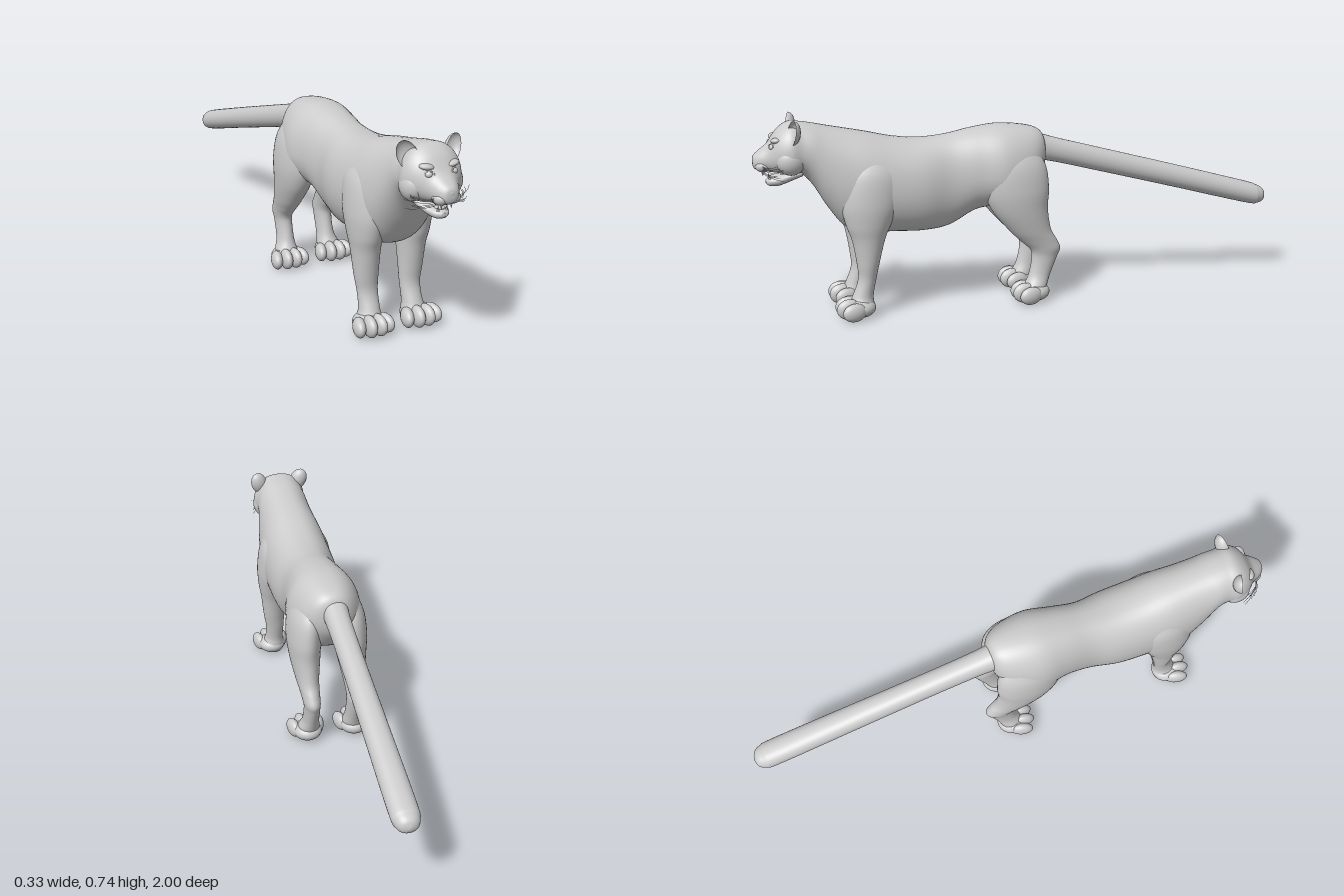
import * as THREE from 'three';

const material = new THREE.MeshStandardMaterial({ color: 0xcccccc });
const thinMaterial = new THREE.MeshStandardMaterial({ color: 0xcccccc, side: THREE.DoubleSide });

// Smooth curve through rows of numbers, column by column
function sampleRows(rows, t) {
  const last = rows.length - 1;
  const i = Math.min(Math.floor(t), last - 1), f = t - i;
  const row = k => rows[Math.max(0, Math.min(last, k))];
  const [a, b, c, d] = [row(i - 1), row(i), row(i + 1), row(i + 2)];
  return b.map((v, k) => {
    const m0 = (c[k] - a[k]) / 2, m1 = (d[k] - v) / 2, dv = c[k] - v;
    return v + f * (m0 + f * (3 * dv - 2 * m0 - m1 + f * (m0 + m1 - 2 * dv)));
  });
}

// Skin of rings through the rows, closed at both ends
function loft(rows, ring, name, steps = 6, sides = 40) {
  const pos = [], index = [], rings = (rows.length - 1) * steps + 1;
  for (let i = 0; i < rings; i++) {
    const row = sampleRows(rows, i / steps);
    for (let j = 0; j < sides; j++) {
      const a = j / sides * Math.PI * 2;
      pos.push(...ring(row, Math.cos(a), Math.sin(a)));
    }
  }
  for (let i = 0; i < rings - 1; i++) for (let j = 0; j < sides; j++) {
    const k = (j + 1) % sides, a = i * sides + j, b = i * sides + k;
    index.push(a, b, b + sides, a, b + sides, a + sides);
  }
  for (const [start, flip] of [[0, true], [(rings - 1) * sides, false]]) {
    const centre = [0, 0, 0], n = pos.length / 3;
    for (let j = 0; j < sides; j++) for (let k = 0; k < 3; k++) centre[k] += pos[(start + j) * 3 + k] / sides;
    pos.push(...centre);
    for (let j = 0; j < sides; j++) {
      const a = start + j, b = start + (j + 1) % sides;
      index.push(n, flip ? b : a, flip ? a : b);
    }
  }
  const geo = new THREE.BufferGeometry();
  geo.setAttribute('position', new THREE.Float32BufferAttribute(pos, 3));
  geo.setIndex(index);
  geo.computeVertexNormals();
  const mesh = new THREE.Mesh(geo, material);
  mesh.name = name;
  return mesh;
}

// Upright ring, row = [z, top, bottom, half width, height of widest point]
const uprightRing = ([z, top, bottom, w, mid], c, s) =>
  [w * Math.sign(c) * Math.abs(c) ** 0.85, mid + s * (s > 0 ? top - mid : mid - bottom), z];

// Level ring, row = [y, x centre, front z, back z, half width]
const levelRing = side => ([y, x, front, back, w], c, s) =>
  [side * x + w * c, y, (front + back) / 2 + s * (front - back) / 2];

function ellipsoid(name, [x, y, z], [rx, ry, rz], detail = 24) {
  const mesh = new THREE.Mesh(new THREE.SphereGeometry(1, detail, detail * 0.75), material);
  mesh.scale.set(rx, ry, rz);
  mesh.position.set(x, y, z);
  mesh.name = name;
  return mesh;
}

const bodyRows = [
  [-0.075, 0.6, 0.52, 0.03, 0.56], [-0.055, 0.64, 0.47, 0.075, 0.55], [0, 0.66, 0.4, 0.118, 0.51],
  [0.1, 0.67, 0.37, 0.142, 0.49], [0.2, 0.66, 0.355, 0.125, 0.49], [0.3, 0.642, 0.302, 0.116, 0.47],
  [0.4, 0.635, 0.29, 0.132, 0.46], [0.5, 0.646, 0.295, 0.136, 0.46], [0.6, 0.67, 0.3, 0.135, 0.47],
  [0.68, 0.687, 0.325, 0.126, 0.49], [0.74, 0.7, 0.4, 0.114, 0.54], [0.79, 0.711, 0.485, 0.103, 0.6],
  [0.83, 0.718, 0.53, 0.1, 0.61], [0.87, 0.72, 0.53, 0.106, 0.61], [0.91, 0.694, 0.54, 0.088, 0.61],
  [0.945, 0.648, 0.546, 0.056, 0.595], [0.975, 0.624, 0.55, 0.04, 0.585], [0.994, 0.608, 0.56, 0.024, 0.582],
  [0.999, 0.594, 0.574, 0.008, 0.583],
];
const tailRows = [
  [-1, 0.325, 0.313, 0.006, 0.319], [-0.99, 0.346, 0.296, 0.03, 0.32], [-0.965, 0.361, 0.287, 0.044, 0.324],
  [-0.91, 0.38, 0.294, 0.05, 0.337], [-0.6, 0.469, 0.38, 0.047, 0.424], [-0.3, 0.553, 0.462, 0.044, 0.507],
  [-0.1, 0.61, 0.515, 0.046, 0.562], [0, 0.65, 0.53, 0.055, 0.59],
];
const jawRows = [
  [0.83, 0.56, 0.525, 0.065, 0.545], [0.88, 0.545, 0.504, 0.054, 0.53], [0.915, 0.53, 0.492, 0.038, 0.515],
  [0.942, 0.523, 0.493, 0.027, 0.51], [0.956, 0.515, 0.502, 0.01, 0.508],
];
const frontLegRows = [
  [0.6, 0.07, 0.65, 0.53, 0.03], [0.53, 0.08, 0.69, 0.48, 0.058], [0.43, 0.086, 0.705, 0.49, 0.065],
  [0.35, 0.09, 0.69, 0.525, 0.057], [0.29, 0.088, 0.67, 0.55, 0.05], [0.2, 0.086, 0.655, 0.573, 0.043],
  [0.14, 0.083, 0.652, 0.586, 0.037], [0.08, 0.084, 0.674, 0.598, 0.037], [0.045, 0.088, 0.69, 0.597, 0.046],
  [0.012, 0.088, 0.68, 0.605, 0.038],
];
const hindLegRows = [
  [0.61, 0.065, 0.13, 0, 0.03], [0.53, 0.08, 0.18, -0.055, 0.058], [0.44, 0.089, 0.18, -0.068, 0.063],
  [0.36, 0.09, 0.148, -0.064, 0.058], [0.28, 0.09, 0.083, -0.076, 0.045], [0.235, 0.088, 0.038, -0.1, 0.037],
  [0.2, 0.086, 0.002, -0.115, 0.033], [0.165, 0.084, -0.005, -0.103, 0.03], [0.1, 0.085, 0.008, -0.076, 0.032],
  [0.05, 0.09, 0.03, -0.058, 0.044], [0.012, 0.09, 0.02, -0.045, 0.036],
];

// Paw with a broad pad and four knuckled toes
function paw(name, side, z) {
  const group = new THREE.Group();
  group.name = name;
  const x = side * 0.093;
  group.add(ellipsoid('pawPad', [x, 0.037, z], [0.056, 0.036, 0.058]));
  [-0.049, -0.017, 0.017, 0.049].forEach((dx, i) => {
    const inner = i === 1 || i === 2;
    const toe = ellipsoid('toe', [x + dx, inner ? 0.039 : 0.035, z + (inner ? 0.042 : 0.026)],
      [0.022, inner ? 0.038 : 0.034, 0.045]);
    toe.rotation.y = dx * 5;
    group.add(toe);
  });
  return group;
}

// Paired parts of the face
function faceHalf(side) {
  const group = new THREE.Group();
  group.name = side > 0 ? 'leftFace' : 'rightFace';
  group.add(ellipsoid('cheek', [side * 0.066, 0.592, 0.87], [0.043, 0.052, 0.052]));
  group.add(ellipsoid('muzzlePad', [side * 0.022, 0.57, 0.962], [0.026, 0.022, 0.03]));
  group.add(ellipsoid('eye', [side * 0.045, 0.641, 0.931], [0.013, 0.011, 0.012]));
  const brow = ellipsoid('brow', [side * 0.044, 0.662, 0.916], [0.027, 0.011, 0.02]);
  brow.rotation.z = side * 0.15;
  group.add(brow);
  const lid = new THREE.Mesh(new THREE.TorusGeometry(0.014, 0.003, 8, 28), material);
  lid.name = 'eyelid';
  lid.scale.y = 0.75;
  lid.position.set(side * 0.045, 0.641, 0.935);
  lid.rotation.set(-0.3, side * 0.5, side * 0.2);
  group.add(lid);

  // Cupped ear, open to the front
  const cup = new THREE.SphereGeometry(1, 28, 12, 0, Math.PI * 2, 0, Math.PI / 2).rotateX(-Math.PI / 2);
  const ear = new THREE.Mesh(cup, thinMaterial);
  ear.name = 'ear';
  ear.scale.set(0.034, 0.05, 0.03);
  ear.position.set(side * 0.084, 0.69, 0.866);
  ear.rotation.set(-0.1, side * 0.3, -side * 0.38);
  group.add(ear);

  // Canine teeth
  for (const [x, y, z, h, up] of [[0.018, 0.541, 0.966, 0.02, false], [0.015, 0.528, 0.943, 0.016, true]]) {
    const tooth = new THREE.Mesh(new THREE.ConeGeometry(0.0045, h, 10), material);
    tooth.name = 'tooth';
    tooth.position.set(side * x, y, z);
    if (!up) tooth.rotation.x = Math.PI;
    group.add(tooth);
  }

  // Whiskers
  for (let i = 0; i < 7; i++) {
    const y = 0.578 - i * 0.004, tip = 0.583 - i * 0.009, reach = 0.108 - (i % 3) * 0.008;
    const curve = new THREE.QuadraticBezierCurve3(
      new THREE.Vector3(side * 0.03, y, 0.972),
      new THREE.Vector3(side * 0.075, y - 0.014, 0.965),
      new THREE.Vector3(side * reach, tip, 0.925 - (i % 4) * 0.012));
    const whisker = new THREE.Mesh(new THREE.TubeGeometry(curve, 10, 0.0008, 5), material);
    whisker.name = 'whisker';
    group.add(whisker);
  }
  return group;
}

export function createModel() {
  const model = new THREE.Group();
  model.name = 'bigCat';

  model.add(loft(bodyRows, uprightRing, 'bodyAndHead', 6, 56));
  const tail = loft(tailRows, uprightRing, 'tail');
  tail.position.x = -0.007;
  model.add(tail);

  // Mouth and nose
  model.add(loft(jawRows, uprightRing, 'lowerJaw'));
  model.add(ellipsoid('tongue', [0, 0.526, 0.915], [0.018, 0.007, 0.032]));
  model.add(ellipsoid('nose', [0, 0.592, 0.986], [0.018, 0.011, 0.014]));

  for (const side of [1, -1]) {
    const label = side > 0 ? 'left' : 'right';
    model.add(loft(frontLegRows, levelRing(side), label + 'FrontLeg'));
    model.add(loft(hindLegRows, levelRing(side), label + 'HindLeg'));
    model.add(paw(label + 'FrontPaw', side, 0.65));
    model.add(paw(label + 'HindPaw', side, -0.012));
    model.add(faceHalf(side));
  }
  return model;
}
